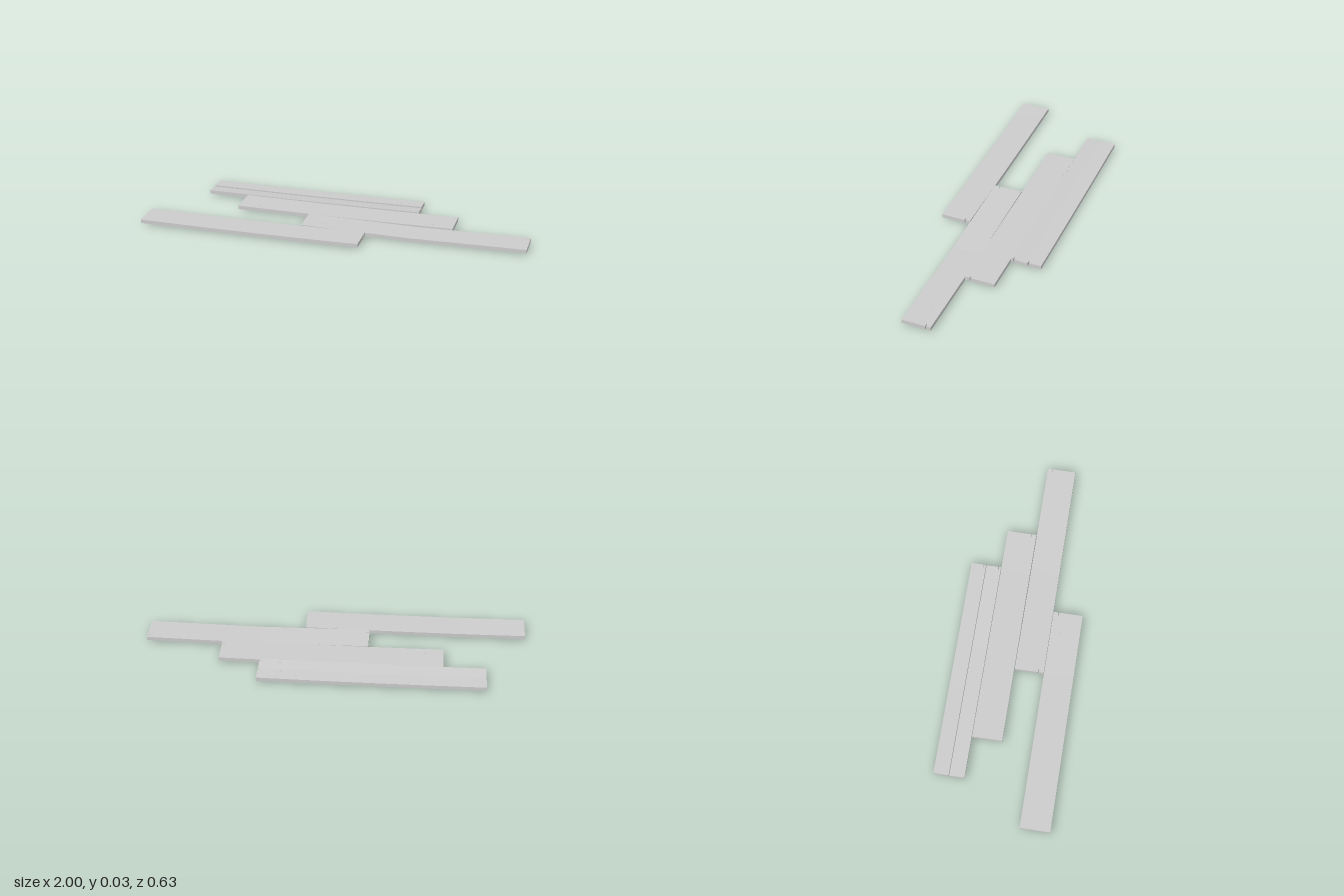
import * as THREE from 'three';

const THICK = 0.02;

// x0..x1, z0..z1: footprint; y: underside at the ends; sag: dip between the ends; low: x of the lowest point;
// tilt: rise from back edge to front edge; notches: [end, z]; marks: [x, z] of surface nicks
const PLANKS = [
  { name: 'frontPlank', x0: -1, x1: 0.17, z0: 0.16, z1: 0.315, y: 0.012, sag: 0.004, tilt: 0.001,
    notches: [[1, 0.187]], marks: [[-0.9, 0.185], [0.065, 0.207]] },
  { name: 'crackedPlank', x0: -0.175, x1: 1, z0: 0.006, z1: 0.158, y: 0.0115, sag: 0.008, low: 0.4, tilt: 0.001,
    notches: [[1, 0.032], [-1, 0.13]], marks: [[-0.07, 0.11], [0.89, 0.05]] },
  { name: 'middlePlank', x0: -0.57, x1: 0.595, z0: -0.153, z1: 0.003, y: 0.0115, sag: 0.003, tilt: 0.001,
    notches: [[1, -0.023]], marks: [[-0.47, -0.035], [0.49, -0.035]] },
  { name: 'tiltedNarrowPlank', x0: -0.79, x1: 0.38, z0: -0.234, z1: -0.155, y: 0.0105, sag: 0.002, tilt: 0.009,
    notches: [[1, -0.168]], marks: [[-0.7, -0.207], [0.275, -0.177]] },
  { name: 'backNarrowPlank', x0: -0.79, x1: 0.38, z0: -0.315, z1: -0.236, y: 0.012, sag: 0.003, tilt: 0.002,
    notches: [[1, -0.247]], marks: [[-0.685, -0.256], [0.27, -0.256]] },
];

// underside height of a plank at a point
function baseHeight(p, x, z) {
  const t = (x - p.x0) / (p.x1 - p.x0);
  let dip = 4 * t * (1 - t);
  if (p.low !== undefined) {
    dip = x < p.low ? (x - p.x0) / (p.low - p.x0) : (p.x1 - x) / (p.x1 - p.low);
  }
  return p.y - p.sag * dip + p.tilt * ((z - p.z0) / (p.z1 - p.z0) - 0.5);
}

// bowed board whose end vertices are pushed in to form split notches
function plankGeometry(p) {
  const zs = [p.z0, p.z1];
  p.notches.forEach(([, z]) => zs.push(z - 0.003, z, z + 0.003));
  zs.sort((a, b) => a - b);
  const xs = [p.x0, p.x0 + 0.03];
  for (let i = 1; i < 10; i++) xs.push(p.x0 + (p.x1 - p.x0) * i / 10);
  xs.push(p.x1 - 0.03, p.x1);
  if (p.low !== undefined) xs.push(p.low);
  xs.sort((a, b) => a - b);

  const nx = xs.length - 1, nz = zs.length - 1;
  const geo = new THREE.BoxGeometry(nx, 1, nz, nx, 1, nz);
  const pos = geo.attributes.position;
  for (let i = 0; i < pos.count; i++) {
    const ix = Math.round(pos.getX(i) + nx / 2);
    const z = zs[Math.round(pos.getZ(i) + nz / 2)];
    let x = xs[ix];
    for (const [end, nzPos] of p.notches) {
      if (z === nzPos && ix === (end > 0 ? nx : 0)) x -= end * 0.02;
    }
    pos.setXYZ(i, x, baseHeight(p, x, z) + (pos.getY(i) > 0 ? THICK : 0), z);
  }
  const flat = geo.toNonIndexed();
  flat.computeVertexNormals();
  return flat;
}

// thin sliver lying on the top face between two points
function sliver(p, material, name, a, b, width) {
  const from = new THREE.Vector3(a[0], baseHeight(p, ...a) + THICK, a[1]);
  const to = new THREE.Vector3(b[0], baseHeight(p, ...b) + THICK, b[1]);
  const mesh = new THREE.Mesh(new THREE.BoxGeometry(width, 0.001, from.distanceTo(to)), material);
  mesh.name = name;
  mesh.position.copy(from).lerp(to, 0.5);
  mesh.lookAt(to);
  return mesh;
}

export function createModel() {
  const model = new THREE.Group();
  model.name = 'woodenPlanks';
  const material = new THREE.MeshStandardMaterial({ color: 0xcccccc, flatShading: true });

  for (const p of PLANKS) {
    const plank = new THREE.Group();
    plank.name = p.name;
    const board = new THREE.Mesh(plankGeometry(p), material);
    board.name = 'board';
    plank.add(board);
    // small nicks near the ends
    for (const [x, z] of p.marks) {
      plank.add(sliver(p, material, 'nick', [x - 0.012, z + 0.002], [x + 0.012, z - 0.002], 0.004));
    }
    // crack running in from the back edge
    if (p.low !== undefined) {
      plank.add(sliver(p, material, 'crack', [0.39, 0.008], [0.4, 0.06], 0.003));
      plank.add(sliver(p, material, 'crack', [0.4, 0.06], [0.415, 0.112], 0.002));
    }
    model.add(plank);
  }
  return model;
}
